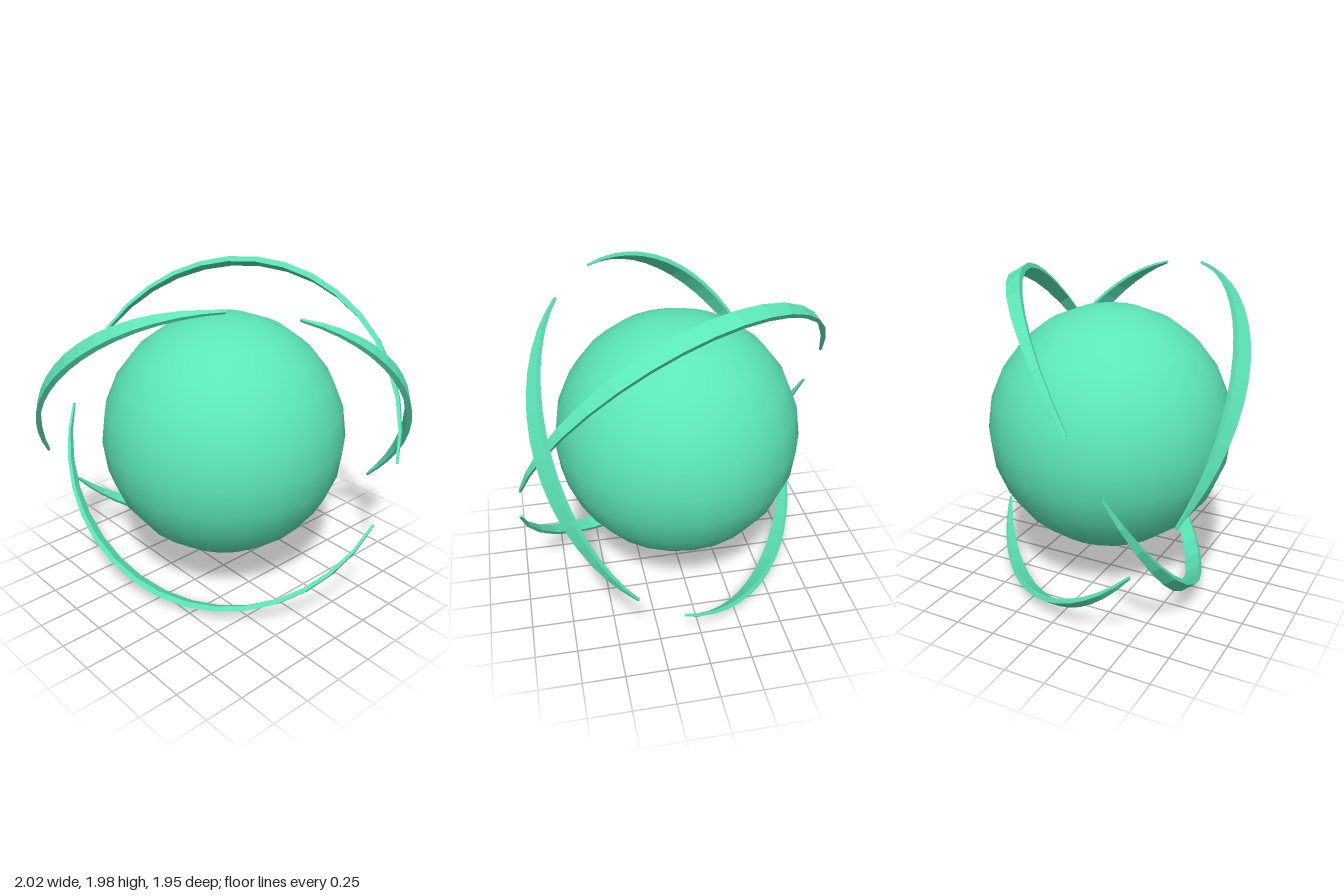
import * as THREE from 'three';

const COLOR = 0x5ce6b8;
const CENTER_Y = 1;

// Curved blade in the local XY plane, centred on +X, tapering to both tips.
function bladeGeometry(radius, sweep, segments = 16) {
  const positions = [];
  const index = [];
  for (let i = 0; i <= segments; i++) {
    const f = i / segments;
    const angle = (f - 0.5) * sweep;
    const swell = Math.sin(Math.PI * f);
    const w = 0.006 + 0.044 * swell; // half width, along the ring axis
    const h = 0.007 + 0.01 * swell; // half thickness, radial
    for (const [dr, dz] of [[h, -w], [h, w], [-h, w], [-h, -w]]) {
      const r = radius + dr;
      positions.push(r * Math.cos(angle), r * Math.sin(angle), dz);
    }
  }
  for (let i = 0; i < segments; i++) {
    for (let k = 0; k < 4; k++) {
      const a = i * 4 + k;
      const b = i * 4 + ((k + 1) % 4);
      index.push(a, a + 4, b + 4, a, b + 4, b);
    }
  }
  // tip caps
  const e = segments * 4;
  index.push(0, 1, 2, 0, 2, 3, e, e + 2, e + 1, e, e + 3, e + 2);
  const geometry = new THREE.BufferGeometry();
  geometry.setAttribute('position', new THREE.Float32BufferAttribute(positions, 3));
  geometry.setIndex(index);
  geometry.computeVertexNormals();
  return geometry;
}

// Tilted ring of equal blades; "first" points to the middle of the first blade.
function bladeRing(name, { count, radius, sweep, normal, first }, material) {
  const ring = new THREE.Group();
  ring.name = name;
  const n = new THREE.Vector3(...normal).normalize();
  const v = new THREE.Vector3().crossVectors(n, new THREE.Vector3(...first)).normalize();
  const u = new THREE.Vector3().crossVectors(v, n);
  ring.quaternion.setFromRotationMatrix(new THREE.Matrix4().makeBasis(u, v, n));
  ring.position.y = CENTER_Y;

  const geometry = bladeGeometry(radius, THREE.MathUtils.degToRad(sweep));
  for (let i = 0; i < count; i++) {
    const blade = new THREE.Mesh(geometry, material);
    blade.name = `${name}Blade${i + 1}`;
    blade.rotation.z = (i / count) * Math.PI * 2;
    ring.add(blade);
  }
  return ring;
}

export function createModel() {
  const model = new THREE.Group();
  model.name = 'orbWithOrbitingBlades';

  // central orb
  const orb = new THREE.Mesh(
    new THREE.SphereGeometry(0.75, 24, 12),
    new THREE.MeshStandardMaterial({ color: COLOR })
  );
  orb.name = 'orb';
  orb.position.y = CENTER_Y;
  model.add(orb);

  // inner ring of two long blades, outer ring of three short ones
  const bladeMaterial = new THREE.MeshStandardMaterial({ color: COLOR, flatShading: true });
  model.add(
    bladeRing('innerRing', {
      count: 2, radius: 1.085, sweep: 160,
      normal: [0.37, 0.5, 0.78], first: [-0.056, 0.925, -0.56],
    }, bladeMaterial),
    bladeRing('outerRing', {
      count: 3, radius: 1.13, sweep: 100,
      normal: [-0.65, 0.527, -0.545], first: [-0.265, 0.616, 0.912],
    }, bladeMaterial)
  );
  return model;
}
